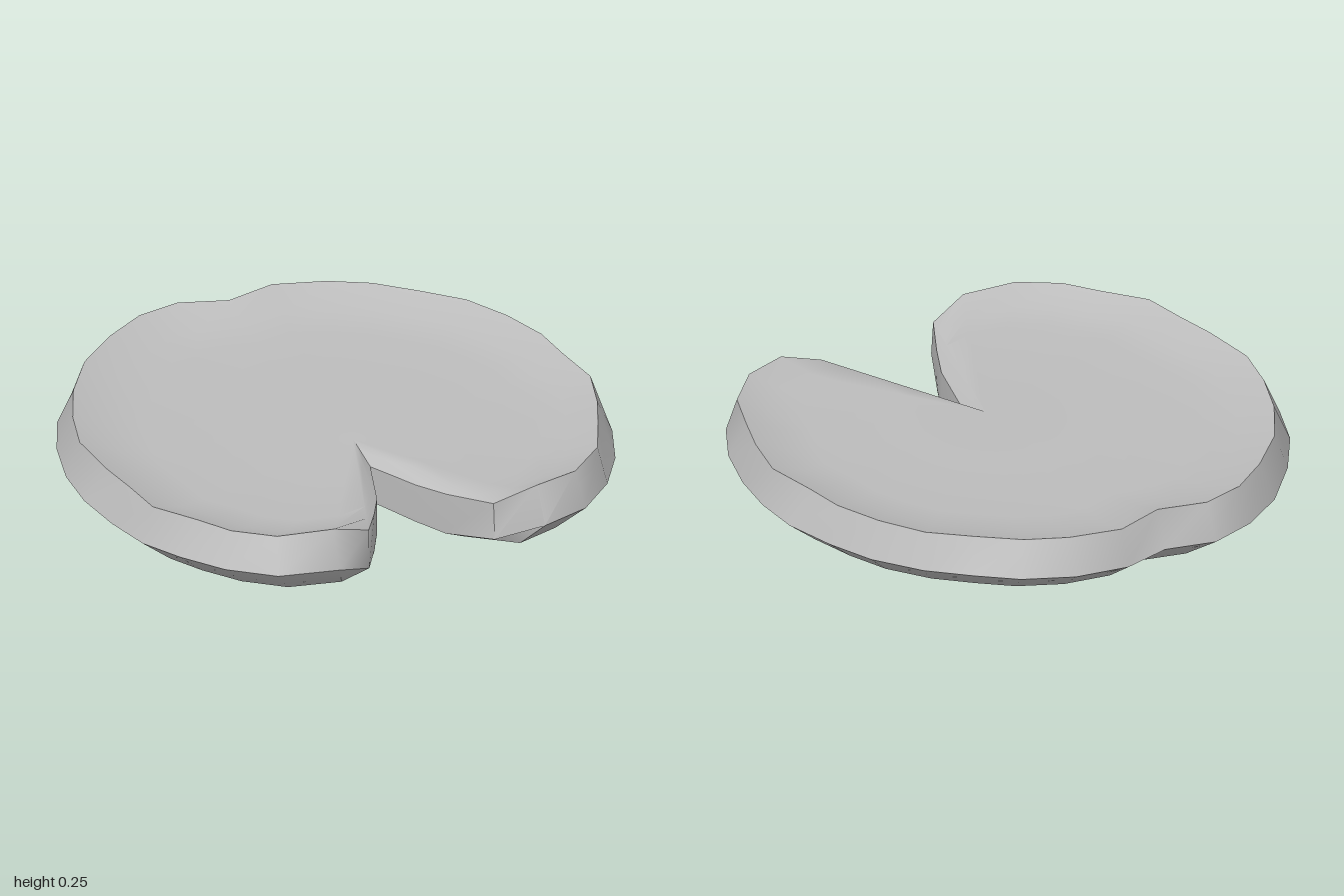
import * as THREE from 'three';
import { toCreasedNormals } from 'three/addons/utils/BufferGeometryUtils.js';

// Outline, counter-clockwise from the notch tip: widest x, z, then top rim x, z.
// Notch points have upright walls and need only one pair.
const OUTLINE = [
  [0.01, 0.34], [0.09, 0.55], [0.15, 0.68], [0.25, 0.87, 0.25, 0.86],
  [0.41, 0.955, 0.41, 0.89], [0.6, 0.9, 0.58, 0.855], [0.75, 0.77, 0.73, 0.73],
  [0.86, 0.61, 0.81, 0.57], [0.94, 0.42, 0.88, 0.42], [0.985, 0.24, 0.94, 0.24],
  [1, 0.06, 0.925, 0.04], [0.97, -0.14, 0.92, -0.12], [0.92, -0.32, 0.87, -0.3],
  [0.82, -0.5, 0.79, -0.47], [0.7, -0.64, 0.67, -0.6], [0.58, -0.765, 0.54, -0.73],
  [0.41, -0.87, 0.4, -0.815], [0.215, -0.925, 0.21, -0.88], [0.03, -0.9, 0.02, -0.84],
  [-0.15, -0.965, -0.155, -0.905], [-0.33, -0.93, -0.32, -0.88], [-0.51, -0.84, -0.48, -0.79],
  [-0.69, -0.68, -0.65, -0.655], [-0.83, -0.51, -0.78, -0.48], [-0.92, -0.33, -0.87, -0.3],
  [-0.98, -0.13, -0.93, -0.12], [-1, 0.06, -0.93, 0.1], [-0.985, 0.26, -0.915, 0.26],
  [-0.95, 0.44, -0.905, 0.43], [-0.875, 0.59, -0.805, 0.585], [-0.77, 0.745, -0.73, 0.715],
  [-0.62, 0.875, -0.6, 0.825], [-0.4, 0.93, -0.395, 0.865], [-0.25, 0.865, -0.24, 0.84],
  [-0.15, 0.7], [-0.08, 0.58],
];
const CX = 0.01, CZ = 0.2; // hub from which every rim point is visible
const FLOOR = 0.193; // height of the flat top inside the raised rim

// Scale a point towards the hub
const inset = (x, y, z, s) => [CX + (x - CX) * s, y, CZ + (z - CZ) * s];

// Cross-section at one outline point, from the underside over the rim to the flat top
function section([mx, mz, tx = mx, tz = mz]) {
  const across = Math.abs(mx);
  const notch = mz > 0 && across < 0.3;
  const topY = notch ? 0.15 + 0.1 * (across / 0.4) ** 1.6 : 0.25;
  const midY = notch ? Math.max(0.02, 0.115 - (0.4 - across) * 0.4) : 0.115;
  // The notch lip climbs evenly to the hub; elsewhere the rim drops quickly to the floor
  const topRing = (s, drop) => inset(tx, THREE.MathUtils.lerp(topY, FLOOR, notch ? 1 - s : drop), tz, s);
  const bottomScale = !notch ? 0.87 : across > 0.2 ? 0.78 : 0.99;
  return [
    inset(mx, 0.004, mz, 0.6),
    inset(mx, 0.008, mz, bottomScale),
    [mx, midY, mz],
    [tx, topY, tz],
    topRing(0.87, 0.75),
    topRing(0.74, 1),
    topRing(0.4, 1),
  ];
}

function padGeometry() {
  const sections = OUTLINE.map(section);
  const n = sections.length, rings = sections[0].length;
  const positions = sections.flat(2);
  const bottom = n * rings, top = bottom + 1;
  positions.push(CX, 0, CZ, CX, FLOOR, CZ);

  const index = [];
  for (let i = 0; i < n; i++) {
    const a = i * rings, b = ((i + 1) % n) * rings;
    for (let r = 0; r < rings - 1; r++) {
      index.push(a + r, b + r, b + r + 1, a + r, b + r + 1, a + r + 1);
    }
    index.push(bottom, b, a, top, a + rings - 1, b + rings - 1);
  }

  const geometry = new THREE.BufferGeometry();
  geometry.setAttribute('position', new THREE.Float32BufferAttribute(positions, 3));
  geometry.setIndex(index);
  return toCreasedNormals(geometry, THREE.MathUtils.degToRad(45));
}

export function createModel() {
  const grey = new THREE.MeshStandardMaterial({ color: 0xbcbcbc });
  grey.name = 'grey';

  const pad = new THREE.Mesh(padGeometry(), grey);
  pad.name = 'lilyPad';

  const model = new THREE.Group();
  model.name = 'lilyPadModel';
  model.add(pad);
  return model;
}
